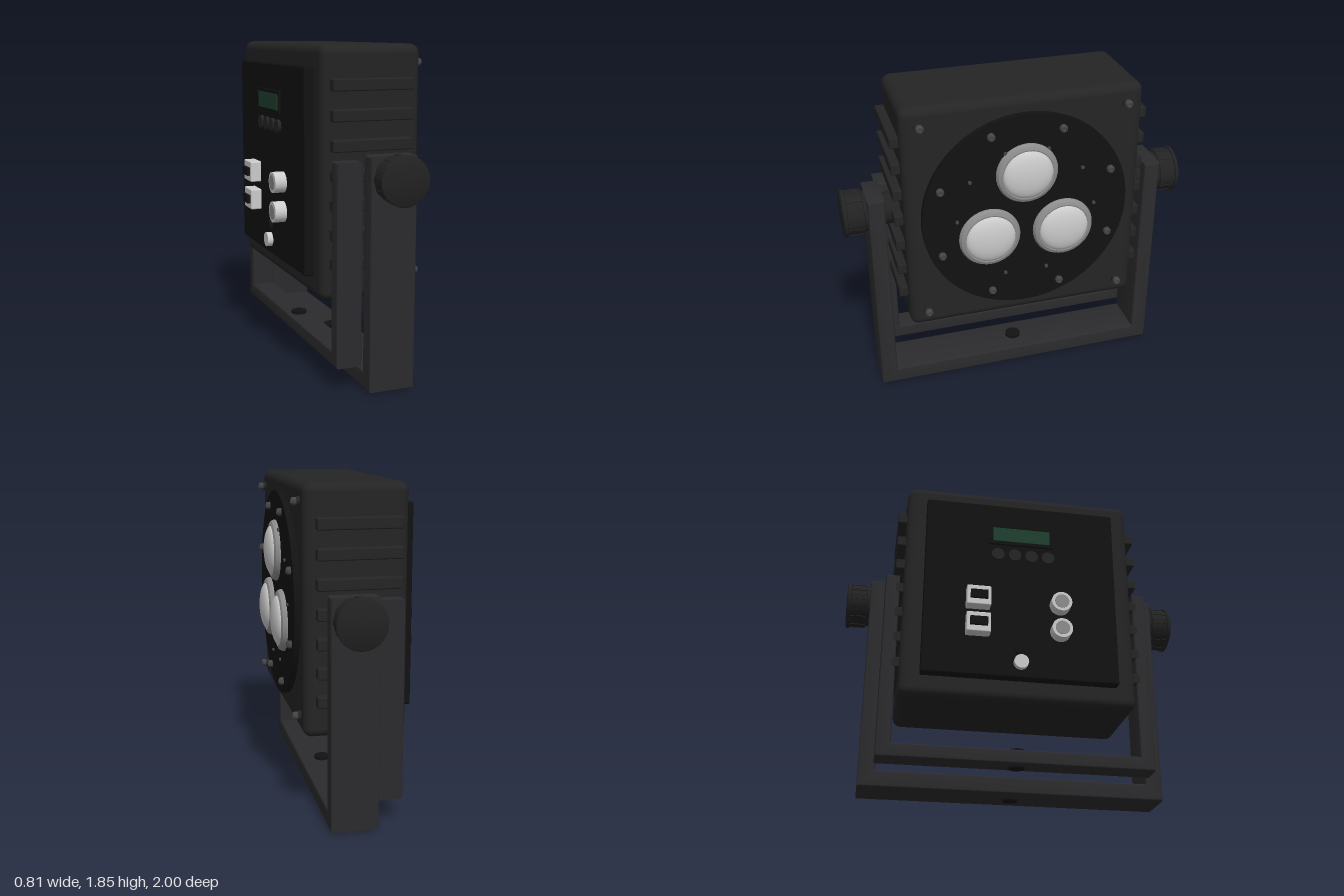
import * as THREE from 'three';
import { RoundedBoxGeometry } from 'three/addons/geometries/RoundedBoxGeometry.js';
import { toCreasedNormals } from 'three/addons/utils/BufferGeometryUtils.js';

const mat = (color) => new THREE.MeshStandardMaterial({ color });
const M = {
  body: mat(0x242424), panel: mat(0x121212), bracket: mat(0x2b2b2d), knob: mat(0x222223),
  ring: mat(0x8c8c8c), lens: mat(0xcccccc), screw: mat(0x444446), screen: mat(0x1f4030),
};

export function createModel() {
  const model = new THREE.Group();
  const CY = 1.165; // height of the tilt axis

  const add = (name, geo, material, x, y, z) => {
    const m = new THREE.Mesh(geo, material);
    m.name = name;
    m.position.set(x, y, z);
    model.add(m);
    return m;
  };
  const box = (name, material, x0, x1, y0, y1, z0, z1, r = 0) => {
    const s = [x1 - x0, y1 - y0, z1 - z0];
    const geo = r ? new RoundedBoxGeometry(...s, 4, r) : new THREE.BoxGeometry(...s);
    return add(name, geo, material, (x0 + x1) / 2, (y0 + y1) / 2, (z0 + z1) / 2);
  };
  // cylinder along x
  const discX = (name, material, x0, x1, y, z, r, seg = 32) => {
    const geo = new THREE.CylinderGeometry(r, r, x1 - x0, seg).rotateZ(Math.PI / 2);
    return add(name, geo, material, (x0 + x1) / 2, y, z);
  };
  // turned part along +x from [radius, height] points
  const turnedX = (name, material, pts, x, y, z, seg = 40) => {
    const geo = new THREE.LatheGeometry(pts.map((p) => new THREE.Vector2(...p)), seg);
    return add(name, toCreasedNormals(geo.rotateZ(-Math.PI / 2), 0.5), material, x, y, z);
  };

  // housing and cooling fins
  box('housing', M.body, -0.27, 0.30, 0.48, 1.845, -0.68, 0.68, 0.05);
  for (const s of [-1, 1]) {
    for (let i = 0; i < 7; i++) {
      const y = 0.69 + i * 0.158;
      const fin = box('coolingFin', M.body, -0.225, 0.235, y - 0.032, y + 0.032, 0.66, 0.73, 0.008);
      fin.position.z *= s;
    }
  }

  // round front plate
  discX('frontPlate', M.panel, 0.29, 0.333, CY, 0, 0.595, 96);

  // three lenses with bezels
  const dome = [];
  for (let i = 0; i <= 8; i++) {
    const a = (i / 8) * Math.PI / 2;
    dome.push([Math.max(0.145 * Math.cos(a), 0), 0.025 + 0.045 * Math.sin(a)]);
  }
  for (const [y, z] of [[1.413, 0], [1.04, 0.215], [1.04, -0.215]]) {
    turnedX('lensBezel', M.ring, [[0.177, 0], [0.177, 0.012], [0.168, 0.028], [0.15, 0.036], [0.143, 0.034], [0.14, 0]], 0.331, y, z);
    turnedX('lens', M.lens, dome, 0.331, y, z);
  }

  // screws: plate rim, small inner circle and housing corners
  const screw = (x, y, z) => {
    turnedX('screw', M.screw, [[0.022, 0], [0.022, 0.018], [0.016, 0.027], [0.011, 0.027], [0.011, 0.016], [0, 0.016]], x, y, z, 16);
  };
  for (let i = 0; i < 8; i++) {
    const a = (i + 0.5) * Math.PI / 4;
    screw(0.332, CY + 0.53 * Math.sin(a), 0.53 * Math.cos(a));
  }
  for (let i = 0; i < 10; i++) {
    const a = i * Math.PI / 5;
    discX('smallScrew', M.screw, 0.33, 0.343, CY + 0.4 * Math.sin(a), 0.4 * Math.cos(a), 0.01, 12);
  }
  for (const y of [CY - 0.58, CY + 0.58]) {
    for (const z of [-0.58, 0.58]) {
      discX('cornerBoss', M.body, 0.295, 0.318, y, z, 0.026, 16);
      screw(0.318, y, z);
    }
  }

  // rear panel with display, buttons and sockets
  box('rearPanel', M.panel, -0.325, -0.26, 0.6, 1.73, -0.567, 0.567, 0.012);
  box('displayFrame', M.panel, -0.338, -0.32, 1.45, 1.58, -0.19, 0.19);
  box('display', M.screen, -0.342, -0.33, 1.47, 1.56, -0.17, 0.17);
  for (let i = 0; i < 4; i++) discX('menuButton', M.body, -0.343, -0.32, 1.38, -0.14 + i * 0.1, 0.038, 24);
  for (const y of [0.9, 1.07]) {
    box('powerSocket', M.lens, -0.39, -0.32, y - 0.062, y + 0.062, -0.325, -0.185, 0.008);
    box('powerSocketInsert', M.panel, -0.408, -0.385, y - 0.025, y + 0.025, -0.305, -0.205);
    discX('signalSocket', M.lens, -0.393, -0.32, y, 0.227, 0.06);
    discX('signalSocketInsert', M.ring, -0.396, -0.39, y, 0.227, 0.042, 24);
  }
  discX('fuseHolder', M.lens, -0.357, -0.32, 0.69, -0.005, 0.042, 24);
  discX('ventPlug', M.panel, -0.343, -0.32, 0.77, -0.005, 0.034, 24);

  // U-shaped yokes: outer bracket and inner stand
  const yoke = (name, x0, x1, y0, y1, zOut, zIn, base) => {
    const b = 0.012;
    const pts = [[-zOut, y1], [-zOut, y0], [zOut, y0], [zOut, y1], [zIn, y1], [zIn, y0 + base], [-zIn, y0 + base], [-zIn, y1]];
    const shape = new THREE.Shape(pts.map((p) => new THREE.Vector2(...p)));
    const geo = new THREE.ExtrudeGeometry(shape, {
      depth: x1 - x0 - 2 * b, bevelSize: b, bevelOffset: -b, bevelThickness: b, bevelSegments: 3,
    });
    geo.translate(0, 0, b).rotateY(Math.PI / 2);
    add(name, toCreasedNormals(geo, 0.7), M.bracket, x0, 0, 0);
  };
  yoke('outerYoke', -0.07, 0.195, 0.01, 1.28, 0.865, 0.77, 0.095);
  yoke('innerYoke', -0.225, -0.078, 0.135, 1.245, 0.782, 0.7, 0.08);

  // mounting bushes through the yoke bases
  add('outerBush', new THREE.CylinderGeometry(0.045, 0.045, 0.125, 32), M.panel, 0.062, 0.0625, 0);
  add('innerBush', new THREE.CylinderGeometry(0.045, 0.045, 0.106, 32), M.panel, -0.152, 0.178, 0);

  // tilt pivots and clamping knobs
  const knob = [[0, 0.66], [0.09, 0.66], [0.09, 0.8], [0.115, 0.86], [0.115, 0.88], [0.125, 0.885], [0.125, 0.975],
    [0.135, 0.978], [0.135, 0.994], [0.125, 1], [0, 1]].map((p) => new THREE.Vector2(...p));
  for (const s of [-1, 1]) {
    const geo = new THREE.LatheGeometry(knob, 48).rotateX(s * Math.PI / 2);
    add('tiltKnob', toCreasedNormals(geo, 0.6), M.knob, 0.062, CY, 0);
    // grip ribs around the knob
    for (let i = 0; i < 12; i++) {
      const a = i * Math.PI / 6;
      const rib = add('gripRib', new THREE.BoxGeometry(0.012, 0.03, 0.09), M.knob,
        0.062 + 0.122 * Math.cos(a), CY + 0.122 * Math.sin(a), s * 0.93);
      rib.rotation.z = a;
    }
  }
  return model;
}
